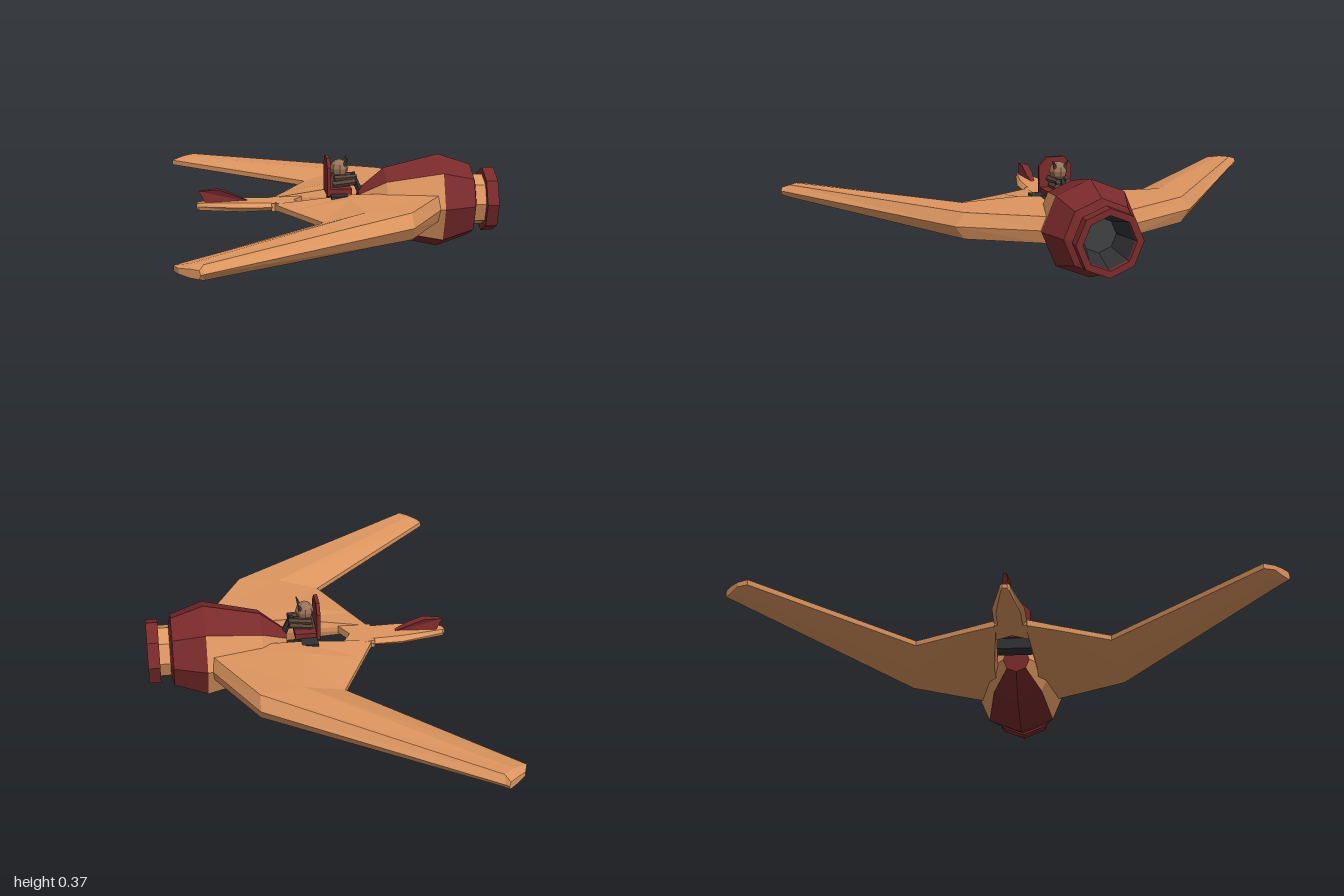
import * as THREE from 'three';

const MID = 0.186; // height of the wing plane and engine axis
const mat = (color) => new THREE.MeshStandardMaterial({ color, flatShading: true });
const TAN = mat(0xde9660), RED = mat(0x7a2a2b), DARK = mat(0x2f3133), STEEL = mat(0x3d4042);
const FUR = mat(0x9a7358), SUIT = mat(0x5c463a);

// Skin a list of cross-sections (each a list of [x, y, z]) with flat faces.
function loft(sections, { closed = true, startCap = false, endCap = false, flip = false } = {}) {
  const out = [];
  const tri = (a, b, c) => out.push(...a, ...(flip ? c : b), ...(flip ? b : c));
  const n = sections[0].length;
  for (let i = 0; i < sections.length - 1; i++) {
    for (let j = 0; j < (closed ? n : n - 1); j++) {
      const k = (j + 1) % n, s = sections[i], t = sections[i + 1];
      tri(s[j], s[k], t[k]);
      tri(s[j], t[k], t[j]);
    }
  }
  const last = sections[sections.length - 1];
  for (let j = 1; j < n - 1; j++) {
    if (startCap) tri(sections[0][0], sections[0][j + 1], sections[0][j]);
    if (endCap) tri(last[0], last[j], last[j + 1]);
  }
  const g = new THREE.BufferGeometry();
  g.setAttribute('position', new THREE.Float32BufferAttribute(out, 3));
  g.computeVertexNormals();
  return g;
}

// Octagonal rings about the x axis from a profile of [x, radius]; steps a..b of 45 degrees from the top.
function rings(profile, a = 0, b = 7) {
  return profile.map(([x, r]) => {
    const ring = [];
    for (let i = a; i <= b; i++) {
      const t = (i * Math.PI) / 4;
      ring.push([x, MID + r * Math.cos(t), r * Math.sin(t)]);
    }
    return ring;
  });
}

// Flat outline extruded evenly about its own plane.
function slab(points, depth) {
  const shape = new THREE.Shape(points.map(([x, y]) => new THREE.Vector2(x, y)));
  return new THREE.ExtrudeGeometry(shape, { depth, bevelEnabled: false }).translate(0, 0, -depth / 2);
}

export function createModel() {
  const model = new THREE.Group();
  const group = (name) => {
    const g = new THREE.Group();
    g.name = name;
    model.add(g);
    return g;
  };
  const add = (name, geo, material, parent = model) => {
    const m = new THREE.Mesh(geo, material);
    m.name = name;
    parent.add(m);
    return m;
  };
  const box = (name, size, pos, material, parent) =>
    add(name, new THREE.BoxGeometry(...size), material, parent).position.set(...pos);
  // Tapered rod between two points
  const rod = (name, a, b, r1, r2, material, parent) => {
    const p = new THREE.Vector3(...a), d = new THREE.Vector3(...b).sub(p);
    const m = add(name, new THREE.CylinderGeometry(r2, r1, d.length(), 6), material, parent);
    m.position.copy(p).addScaledVector(d, 0.5);
    m.quaternion.setFromUnitVectors(new THREE.Vector3(0, 1, 0), d.normalize());
  };

  // Swept wings: per station [x, z, half height] of leading ridge, leading top, crest, thin trailing edge
  const stations = [
    [[0.43, 0.09, 0], [0.42, 0.085, 0.05], [0.06, 0.083, 0.048], [-0.24, 0.055, 0.012]],
    [[0.385, 0.18, 0], [0.383, 0.15, 0.05], [0.04, 0.17, 0.05], [-0.185, 0.17, 0.01]],
    [[0.235, 0.46, 0], [0.232, 0.425, 0.05], [0.07, 0.395, 0.049], [-0.085, 0.375, 0.01]],
    [[-0.53, 0.99, 0], [-0.53, 0.965, 0.026], [-0.57, 0.935, 0.024], [-0.625, 0.9, 0.01]],
    [[-0.54, 1.0, 0], [-0.545, 0.995, 0.015], [-0.575, 0.97, 0.015], [-0.61, 0.94, 0.009]],
  ];
  for (const side of [1, -1]) {
    const sections = stations.map(([ridge, top, crest, trail]) => {
      const at = ([x, z, h], s) => [x, MID + s * h, side * z];
      return [at(ridge, 0), at(top, 1), at(crest, 1), at(trail, 1), at(trail, -1), at(crest, -1), at(top, -1)];
    });
    add(side > 0 ? 'leftWing' : 'rightWing',
      loft(sections, { startCap: true, endCap: true, flip: side < 0 }), TAN);
  }

  // Bridge joining the wings behind the seat opening
  const bridge = slab([[-0.25, 0.06], [-0.25, -0.06], [-0.11, -0.085], [-0.16, 0], [-0.11, 0.085]], 0.03);
  add('rearBridge', bridge.rotateX(Math.PI / 2).translate(0, MID, 0), TAN);

  // Tail boom from [x, half width, half height]
  const boom = [[-0.535, 0.01, 0.008], [-0.525, 0.02, 0.014], [-0.36, 0.06, 0.018], [-0.23, 0.062, 0.015]];
  add('tailBoom', loft(boom.map(([x, w, h]) =>
    [[h, -0.75], [h, 0.75], [0, 1], [-h, 0.75], [-h, -0.75], [0, -1]].map(([y, z]) => [x, MID + y, z * w])),
  { startCap: true, endCap: true }), TAN);

  // Tail fin, thinned toward both ends
  const fin = slab([[-0.32, 0.195], [-0.39, 0.228], [-0.45, 0.25], [-0.525, 0.244], [-0.495, 0.19]], 0.03);
  const fp = fin.attributes.position;
  for (let i = 0; i < fp.count; i++) {
    if (fp.getX(i) > -0.33 || fp.getX(i) < -0.51) fp.setZ(i, fp.getZ(i) * 0.4);
  }
  add('tailFin', fin, RED);

  // Engine pod: red top and bottom panels, tan side panels, red band around the widest part
  const engine = group('engine');
  const cowl = [[0.09, 0.052], [0.19, 0.134], [0.404, 0.184]];
  ['topCowl', 'leftCowl', 'bottomCowl', 'rightCowl'].forEach((name, i) =>
    add(name, loft(rings(cowl, i * 2 - 1, i * 2 + 1), { closed: false }), i % 2 ? TAN : RED, engine));
  add('cowlTip', loft(rings([[0.09, 0.052], [0.092, 0.052]]), { startCap: true }), RED, engine);
  add('engineBand', loft(rings([[0.404, 0.184], [0.53, 0.14], [0.54, 0.1]])), RED, engine);
  add('engineNeck', loft(rings([[0.53, 0.1], [0.585, 0.1]])), TAN, engine);
  add('intakeRing', loft(rings([[0.58, 0.095], [0.58, 0.126], [0.625, 0.126], [0.625, 0.1], [0.61, 0.098]])), RED, engine);
  add('intakeDuct', loft(rings([[0.61, 0.098], [0.5, 0.066]])), DARK, engine);
  add('intakeFan', loft(rings([[0.505, 0.068], [0.5, 0.067]]), { endCap: true }), STEEL, engine);

  // Seat on a dark cross beam
  const seat = group('seat');
  box('crossBeam', [0.065, 0.05, 0.22], [0.008, 0.207, 0], DARK, seat);
  box('seatBase', [0.09, 0.022, 0.12], [0.015, 0.24, 0], RED, seat);
  const back = slab([[-0.065, 0.225], [0.065, 0.225], [0.065, 0.335], [0.035, 0.368],
    [-0.035, 0.368], [-0.065, 0.335]], 0.014);
  add('seatBack', back.rotateY(Math.PI / 2).translate(-0.029, 0, 0), RED, seat);

  // Control column
  const controls = group('controls');
  rod('controlColumn', [0.1, 0.225, 0], [0.068, 0.298, 0], 0.014, 0.011, DARK, controls);
  rod('controlBar', [0.075, 0.287, -0.03], [0.075, 0.287, 0.03], 0.007, 0.007, DARK, controls);

  // Seated pilot
  const pilot = group('pilot');
  rod('torso', [0.002, 0.248, 0], [0.01, 0.305, 0], 0.03, 0.024, SUIT, pilot);
  const head = add('head', new THREE.SphereGeometry(0.036, 8, 6), FUR, pilot);
  head.position.set(0.017, 0.322, 0);
  for (const s of [1, -1]) {
    rod('ear', [0.035, 0.335, s * 0.018], [0.046, 0.366, s * 0.03], 0.009, 0.002, SUIT, pilot);
    rod('arm', [-0.005, 0.287, s * 0.03], [0.082, 0.292, s * 0.02], 0.013, 0.01, SUIT, pilot);
    rod('thigh', [-0.01, 0.262, s * 0.018], [0.078, 0.272, s * 0.02], 0.016, 0.014, SUIT, pilot);
  }
  return model;
}
